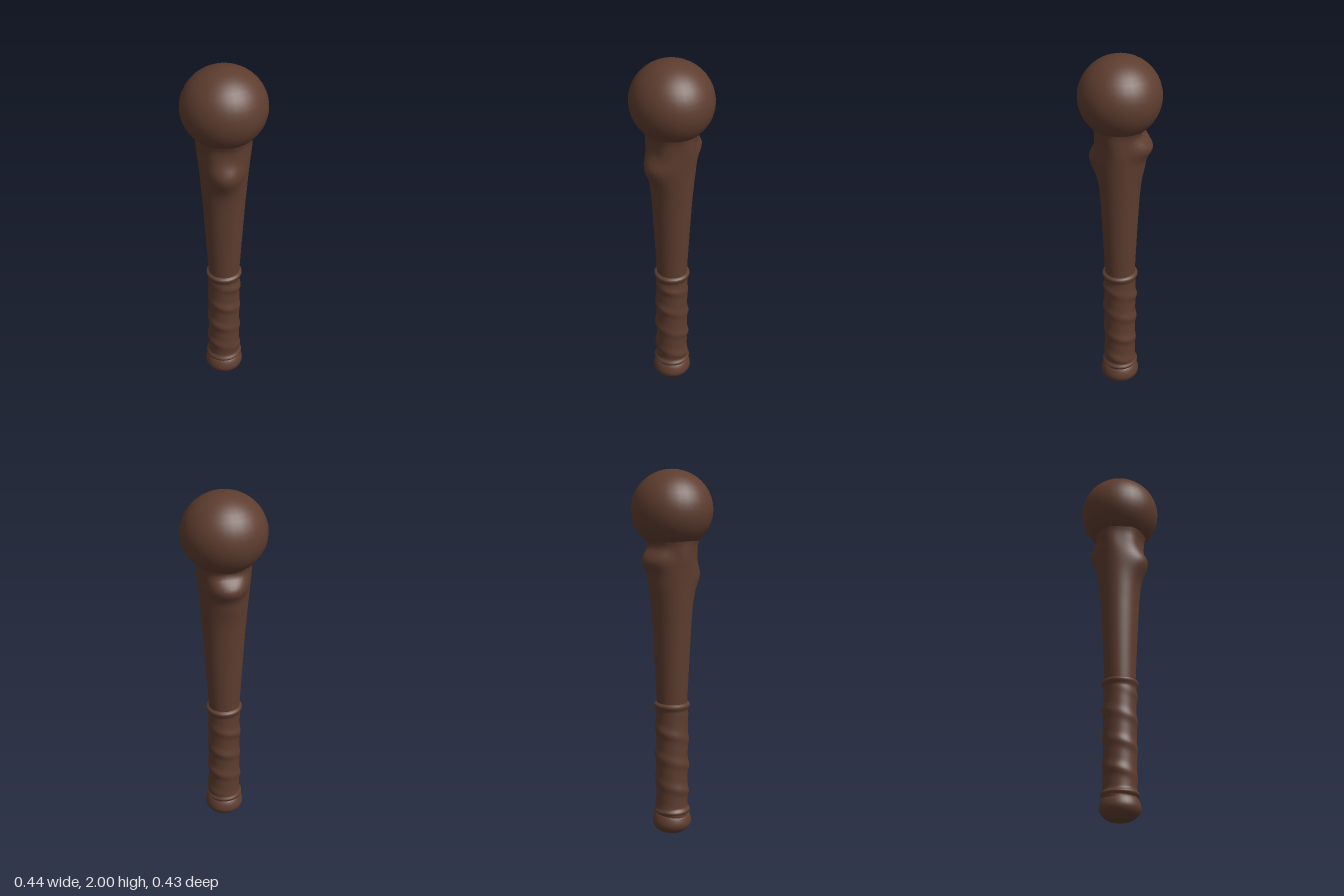
import * as THREE from 'three';
import { mergeVertices } from 'three/addons/utils/BufferGeometryUtils.js';

const wood = new THREE.MeshStandardMaterial({ color: 0x5e3d2f });
wood.name = 'dark brown wood';

const bump = (d, w) => Math.exp(-(d * d) / (w * w));

// Linear lookup in a list of [height, value] pairs
function lookup(points, y) {
  for (let i = 1; i < points.length; i++) {
    const [y0, v0] = points[i - 1], [y1, v1] = points[i];
    if (y <= y1) return v0 + (v1 - v0) * Math.max(0, (y - y0) / (y1 - y0));
  }
  return points[points.length - 1][1];
}

// Shortest difference between two angles
const turn = (a, b) => Math.atan2(Math.sin(a - b), Math.cos(a - b));

// Upright tube whose radii in x and z follow a rule of height and angle
function tube(y0, y1, sides, rows, rule) {
  const geo = new THREE.CylinderGeometry(1, 1, y1 - y0, sides, rows, true);
  geo.translate(0, (y0 + y1) / 2, 0);
  const p = geo.attributes.position;
  for (let i = 0; i < p.count; i++) {
    const x = p.getX(i), y = p.getY(i), z = p.getZ(i);
    const [rx, rz] = rule(y, Math.atan2(z, x));
    p.setXYZ(i, x * rx, y, z * rz);
  }
  return smooth(geo);
}

// Weld the seam and give smooth normals
function smooth(geo) {
  geo.deleteAttribute('uv');
  geo.deleteAttribute('normal');
  const welded = mergeVertices(geo, 1e-4);
  welded.computeVertexNormals();
  return welded;
}

export function createModel() {
  const club = new THREE.Group();
  club.name = 'club';
  const add = (name, geo) => {
    const mesh = new THREE.Mesh(geo, wood);
    mesh.name = name;
    club.add(mesh);
    return mesh;
  };

  // Round head, slightly flattened front to back
  const head = add('head', new THREE.SphereGeometry(1, 32, 20));
  head.scale.set(0.222, 0.21, 0.215);
  head.position.y = 1.79;

  // Tapered shaft with a knot on the front and another on the back
  const widthX = [[0.7, 0.082], [1, 0.1], [1.2, 0.112], [1.4, 0.127], [1.52, 0.137], [1.62, 0.143], [1.66, 0.153], [1.72, 0.18]];
  const depthZ = [[0.7, 0.08], [1, 0.093], [1.2, 0.103], [1.35, 0.115], [1.5, 0.123], [1.6, 0.13], [1.66, 0.152], [1.72, 0.18]];
  add('shaft', tube(0.7, 1.72, 48, 60, (y, a) => {
    const front = bump(turn(a, Math.PI / 2), 0.6), back = bump(turn(a, -Math.PI / 2), 0.62);
    const frontKnot = 0.044 * front * bump(y - 1.445, y < 1.445 ? 0.085 : 0.07);
    const backKnot = back * (0.048 * bump(y - 1.525, 0.055) + 0.014 * bump(y - 1.42, 0.07) - 0.016 * bump(y - 1.61, 0.03));
    // Shallow grooves between root-like ridges under the head
    const ridges = 0.004 * Math.cos(6 * a) * bump(y - 1.57, 0.07);
    const grow = frontKnot + backKnot + ridges;
    return [lookup(widthX, y) + grow, lookup(depthZ, y) + grow];
  }));

  // Strap wound around the handle in a spiral, with a raised end band
  const pitch = 0.15;
  add('gripWrap', tube(0.1, 0.76, 40, 110, (y, a) => {
    const t = (y - 0.64) / pitch - a / (2 * Math.PI);
    const phase = (t - Math.round(t)) * pitch;
    const uneven = 0.75 + 0.25 * Math.sin(2 * a + y * 9);
    const fade = Math.min(1, Math.max(0, (0.72 - y) / 0.06));
    let r = 0.087 + 0.009 * uneven * fade * bump(phase, 0.027);
    r = Math.max(r, 0.087 + 0.011 * bump(y - 0.738, 0.018), 0.087 + 0.014 * bump(y - 0.138, 0.013));
    if (y > 0.748) r -= (y - 0.748) * 1.6;
    return [r + 0.001, r];
  }));

  // Rounded butt at the bottom of the handle
  const buttProfile = [[0, 0.003], [0.03, 0.005], [0.062, 0.015], [0.09, 0.034], [0.105, 0.058],
    [0.107, 0.08], [0.1, 0.105], [0.09, 0.122], [0.08, 0.13]].map(([r, y]) => new THREE.Vector2(r, y - 0.003));
  add('butt', smooth(new THREE.LatheGeometry(new THREE.SplineCurve(buttProfile).getPoints(24), 32)));

  return club;
}
